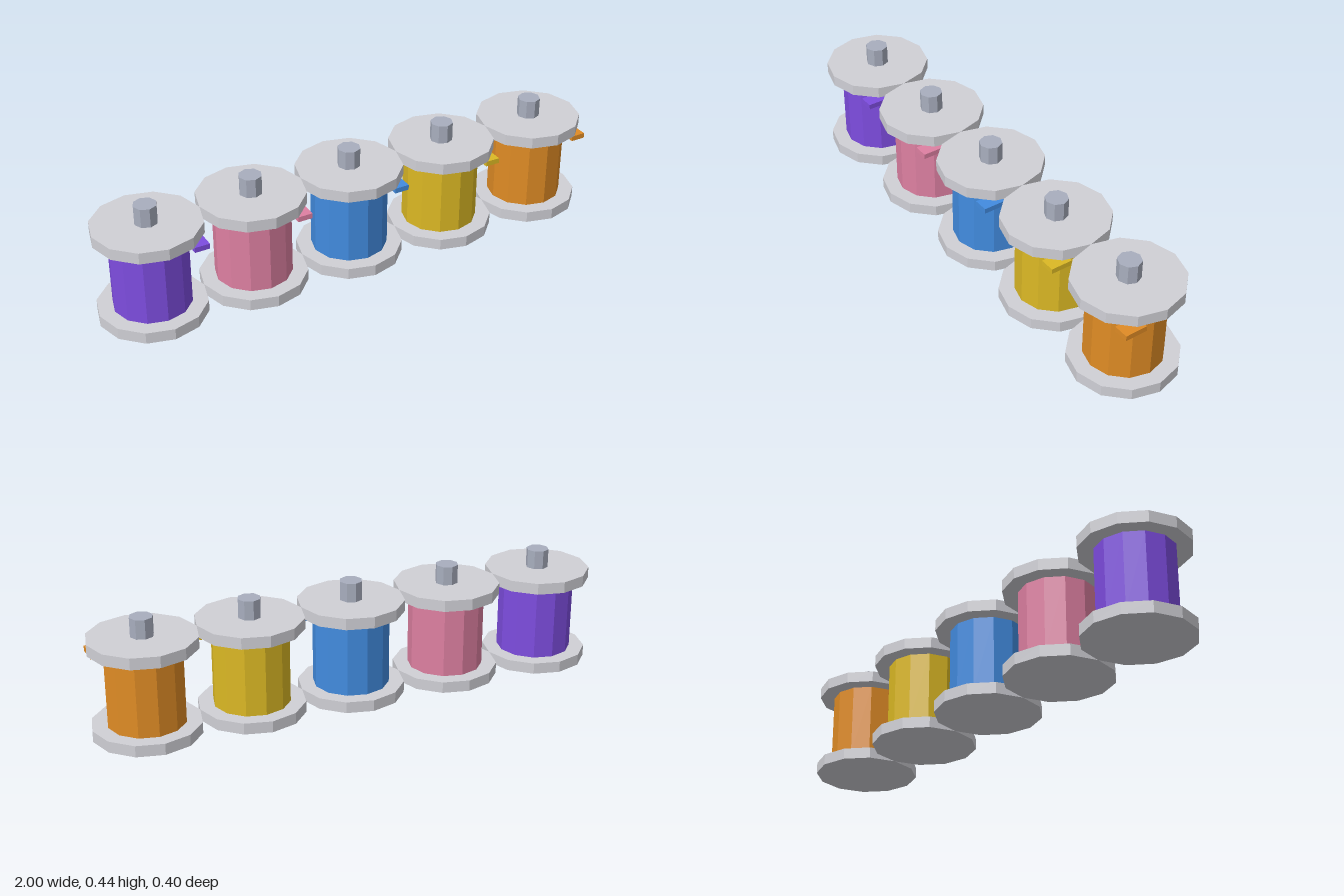
import * as THREE from 'three';

const paint = (name, color) => {
  const m = new THREE.MeshStandardMaterial({ color, flatShading: true });
  m.name = name;
  return m;
};

export function createModel() {
  const model = new THREE.Group();
  model.name = 'spoolRow';

  const flangeMat = paint('light grey', 0xd0d0d6);
  const spindleMat = paint('blue grey', 0xa8aebe);
  const threads = [
    paint('purple', 0x7e4de0),
    paint('pink', 0xde80a2),
    paint('blue', 0x428ce0),
    paint('yellow', 0xdcb924),
    paint('orange', 0xe08c25),
  ];

  // Shared shapes; all are faceted
  const flangeGeo = new THREE.CylinderGeometry(0.2, 0.2, 0.043, 12);
  const drumGeo = new THREE.CylinderGeometry(0.143, 0.143, 0.287, 12);
  const spindleGeo = new THREE.CylinderGeometry(0.043, 0.043, 0.072, 8);
  const tabGeo = new THREE.BoxGeometry(0.057, 0.02, 0.086);

  threads.forEach((thread, i) => {
    const spool = new THREE.Group();
    spool.name = 'spool' + (i + 1);
    spool.position.x = (i - 2) * 0.4;

    const add = (name, geo, mat, x, y, z) => {
      const mesh = new THREE.Mesh(geo, mat);
      mesh.name = name;
      mesh.position.set(x, y, z);
      spool.add(mesh);
    };
    add('bottomFlange', flangeGeo, flangeMat, 0, 0.0215, 0);
    add('threadDrum', drumGeo, thread, 0, 0.1865, 0);
    add('topFlange', flangeGeo, flangeMat, 0, 0.3505, 0);
    add('spindle', spindleGeo, spindleMat, 0, 0.408, 0);
    // Loose thread end sticking out at the front corner
    add('threadEnd', tabGeo, thread, 0.143, 0.298, 0.1);
    model.add(spool);
  });
  return model;
}
